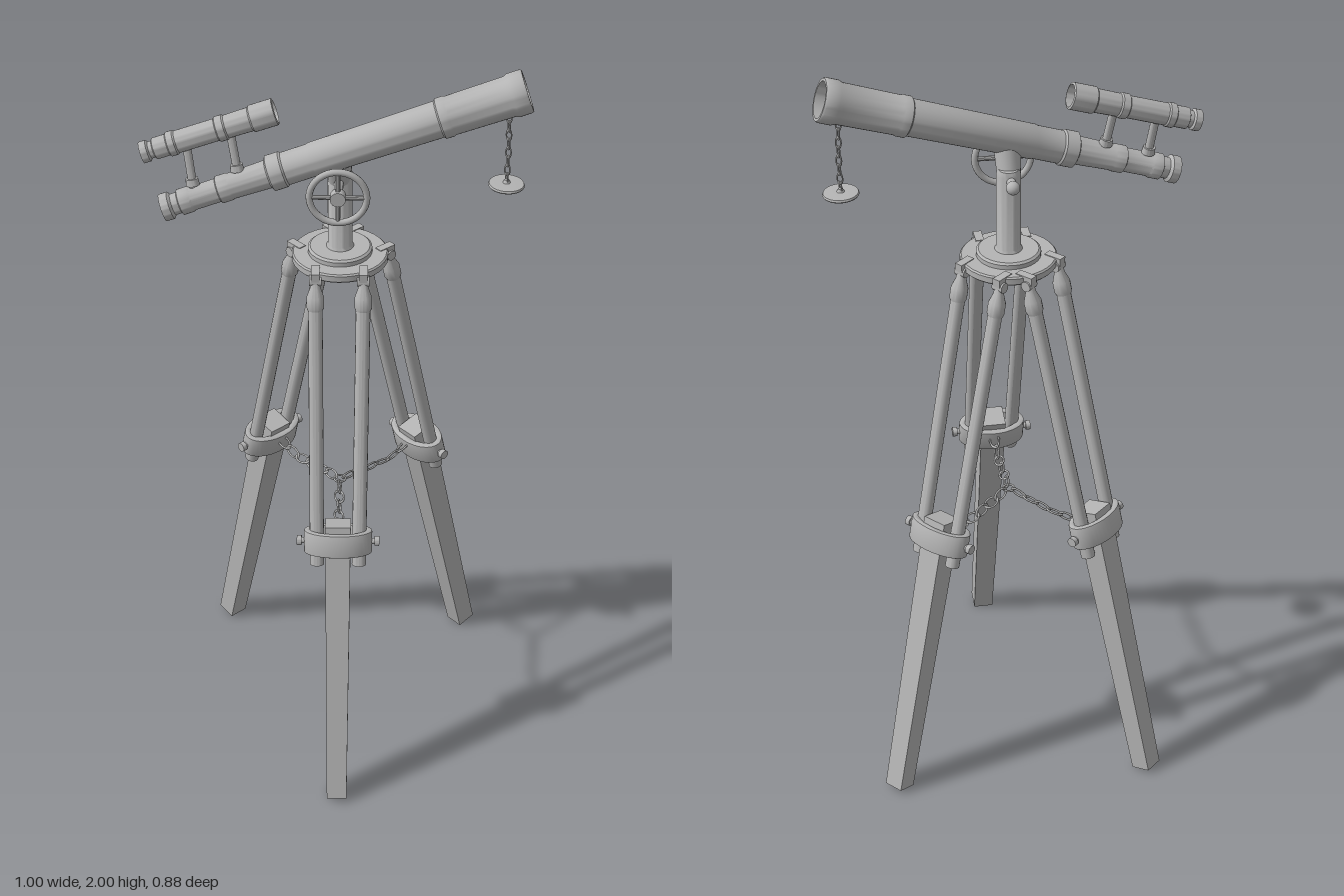
import * as THREE from 'three';
import { toCreasedNormals } from 'three/addons/utils/BufferGeometryUtils.js';

const metal = new THREE.MeshStandardMaterial({ color: 0xb4b4b4 });
const V = (x, y, z) => new THREE.Vector3(x, y, z);
const UP = V(0, 1, 0);

function add(parent, name, geometry, x = 0, y = 0, z = 0) {
  const mesh = new THREE.Mesh(geometry, metal);
  mesh.name = name;
  mesh.position.set(x, y, z);
  parent.add(mesh);
  return mesh;
}

// Turned part along the line from a to b; profile is [radius, distance from a]
function turned(parent, name, a, b, profile, sides = 32) {
  const points = profile.map(([r, t]) => new THREE.Vector2(r, t));
  const geometry = toCreasedNormals(new THREE.LatheGeometry(points, sides), 0.6);
  const mesh = add(parent, name, geometry, a.x, a.y, a.z);
  mesh.quaternion.setFromUnitVectors(UP, b.clone().sub(a).normalize());
  return mesh;
}

function rod(parent, name, a, b, r, r2 = r, sides = 16) {
  const l = a.distanceTo(b);
  return turned(parent, name, a, b, [[0, 0], [r, 0], [r2, l], [0, l]], sides);
}

// Chain of oval links following a list of points, every other link turned
function chain(parent, name, path, count, width, tube) {
  const curve = new THREE.CatmullRomCurve3(path);
  const length = curve.getLength() / count;
  for (let i = 0; i < count; i++) {
    const t = (i + 0.5) / count;
    const g = new THREE.TorusGeometry(width, tube, 6, 14);
    g.scale(1, (length * 0.5 + tube) / width, 1);
    g.rotateY(i % 2 ? 1.25 : 0.35);
    const link = add(parent, name, g);
    link.position.copy(curve.getPointAt(t));
    link.quaternion.setFromUnitVectors(UP, curve.getTangentAt(t));
  }
}

function collarGeometry() {
  const shape = new THREE.Shape().absellipse(0, 0, 0.088, 0.048, 0, Math.PI * 2);
  shape.holes.push(new THREE.Path().absellipse(0, 0, 0.074, 0.036, 0, Math.PI * 2));
  const g = new THREE.ExtrudeGeometry(shape, {
    depth: 0.056, bevelEnabled: true, bevelSize: 0.003, bevelThickness: 0.004, bevelSegments: 2, curveSegments: 20,
  });
  g.translate(0, 0, -0.028).rotateX(-Math.PI / 2);
  return toCreasedNormals(g, 0.6);
}

// One leg, pointing along its own +z; the tilted frame sits at the collar
function makeLeg(angle) {
  const leg = new THREE.Group();
  leg.name = 'leg';
  leg.rotation.y = angle;
  const frame = new THREE.Group();
  frame.name = 'legFrame';
  frame.position.set(0, 0.745, 0.29);
  frame.rotation.x = -0.248;
  leg.add(frame);

  // square tapering lower leg
  const square = new THREE.CylinderGeometry(0.034 * Math.SQRT2, 0.027 * Math.SQRT2, 0.81, 4);
  add(frame, 'lowerLeg', toCreasedNormals(square.rotateY(Math.PI / 4), 0.5), 0, -0.355, 0);
  add(frame, 'collar', collarGeometry());

  for (const s of [-1, 1]) {
    const x = s * 0.056, top = s * 0.062;
    rod(frame, 'upperRod', V(x, -0.068, 0), V(top, 0.68, 0), 0.019);
    turned(frame, 'rodKnuckle', V(top, 0.645, 0), V(top, 1, 0),
      [[0, 0], [0.02, 0], [0.023, 0.008], [0.023, 0.035], [0.014, 0.06], [0.012, 0.085], [0, 0.085]], 16);
    rod(frame, 'hingePin', V(top - 0.016, 0.725, 0), V(top + 0.016, 0.725, 0), 0.014);
    rod(frame, 'collarBolt', V(s * 0.08, 0, 0), V(s * 0.1, 0, 0), 0.008);
    rod(frame, 'boltHead', V(s * 0.097, 0, 0), V(s * 0.11, 0, 0), 0.013);
    // lug fixing the rod to the hub
    add(leg, 'hubLug', new THREE.BoxGeometry(0.022, 0.022, 0.05), top, 1.463, 0.102);
  }

  // chain from the leg to the middle
  chain(leg, 'braceChain', [V(0, 0.75, 0.25), V(0, 0.728, 0.19), V(0, 0.73, 0.1), V(0, 0.74, 0.015)], 6, 0.013, 0.0028);
  return leg;
}

function makeTripod() {
  const tripod = new THREE.Group();
  tripod.name = 'tripod';
  tripod.position.set(0.005, 0, -0.06);
  for (const degrees of [1, 132.4, -135.6]) tripod.add(makeLeg(THREE.MathUtils.degToRad(degrees)));
  add(tripod, 'chainRing', new THREE.TorusGeometry(0.016, 0.003, 6, 16).rotateX(Math.PI / 2), 0, 0.74, 0);

  // hub plate, step and column in one turning
  turned(tripod, 'hubAndColumn', V(0, 1.448, 0), V(0, 2, 0), [
    [0, 0], [0.122, 0], [0.126, 0.004], [0.126, 0.02], [0.122, 0.024], [0.084, 0.024], [0.084, 0.036],
    [0.078, 0.041], [0.036, 0.041], [0.032, 0.048], [0.032, 0.255], [0.026, 0.27], [0, 0.275],
  ]);
  return tripod;
}

function makeMount() {
  const mount = new THREE.Group();
  mount.name = 'mount';
  rod(mount, 'wheelShaft', V(0.003, 1.695, 0.062), V(0.003, 1.695, -0.12), 0.012);
  add(mount, 'shaftKnob', new THREE.SphereGeometry(0.018, 16, 12), 0.003, 1.695, -0.122);
  // cradle between column and tube
  rod(mount, 'cradlePost', V(0.003, 1.69, -0.055), V(0.003, 1.77, -0.025), 0.03, 0.036);
  // hand wheel
  const wheel = new THREE.Group();
  wheel.name = 'handWheel';
  wheel.position.set(0.003, 1.693, 0.05);
  add(wheel, 'wheelRim', new THREE.TorusGeometry(0.073, 0.009, 10, 36));
  rod(wheel, 'wheelHub', V(0, 0, -0.012), V(0, 0, 0.014), 0.02);
  for (let i = 0; i < 4; i++) {
    const a = i * Math.PI / 2;
    rod(wheel, 'wheelSpoke', V(0, 0, 0), V(Math.cos(a) * 0.073, Math.sin(a) * 0.073, 0), 0.007, 0.006, 10);
  }
  mount.add(wheel);
  return mount;
}

function makeTelescope() {
  const scope = new THREE.Group();
  scope.name = 'telescope';
  const rear = V(-0.445, 1.637, 0.02), front = V(0.472, 1.946, -0.06);
  const along = (a, b, t) => a.clone().lerp(b, t);

  // main tube: eyepiece, draw tubes, body, hood and recessed lens
  turned(scope, 'mainTube', rear, front, [
    [0, 0.008], [0.024, 0.008], [0.026, 0], [0.036, 0], [0.036, 0.022], [0.028, 0.028], [0.028, 0.045],
    [0.034, 0.048], [0.034, 0.075], [0.031, 0.08], [0.031, 0.15], [0.036, 0.153], [0.036, 0.18],
    [0.034, 0.185], [0.037, 0.285], [0.047, 0.29], [0.047, 0.325], [0.043, 0.33], [0.043, 0.4],
    [0.045, 0.405], [0.048, 0.74], [0.053, 0.744], [0.053, 0.765], [0.051, 0.77], [0.053, 0.925],
    [0.057, 0.935], [0.057, 0.968], [0.054, 0.973], [0.047, 0.973], [0.044, 0.92], [0, 0.92],
  ], 40);

  // finder tube above
  const fRear = V(-0.495, 1.785, 0), fFront = V(-0.157, 1.894, -0.027);
  turned(scope, 'finderTube', fRear, fFront, [
    [0, 0.006], [0.019, 0.006], [0.02, 0], [0.028, 0], [0.028, 0.018], [0.022, 0.022], [0.022, 0.032],
    [0.028, 0.035], [0.028, 0.07], [0.032, 0.073], [0.032, 0.09], [0.029, 0.094], [0.029, 0.2],
    [0.033, 0.203], [0.033, 0.222], [0.03, 0.226], [0.031, 0.29], [0.035, 0.294], [0.035, 0.355],
    [0.029, 0.357], [0.027, 0.325], [0, 0.325],
  ], 28);

  // posts holding the finder
  for (const [m, f] of [[0.09, 0.33], [0.215, 0.655]]) {
    const a = along(rear, front, m), b = along(fRear, fFront, f);
    rod(scope, 'finderPost', a, b, 0.011);
    turned(scope, 'postFoot', along(a, b, 0.22), b, [[0, 0], [0.018, 0], [0.016, 0.018], [0, 0.018]], 16);
  }

  // lens cap hanging on its chain
  chain(scope, 'capChain', [V(0.43, 1.885, -0.056), V(0.432, 1.78, -0.056), V(0.43, 1.685, -0.056)], 8, 0.007, 0.002);
  turned(scope, 'lensCap', V(0.43, 1.676, -0.056), V(0.434, 1.776, -0.056),
    [[0, 0], [0.045, 0], [0.047, 0.003], [0.045, 0.008], [0.01, 0.01], [0.006, 0.018], [0, 0.018]]);
  return scope;
}

export function createModel() {
  const model = new THREE.Group();
  model.name = 'telescopeOnTripod';
  model.add(makeTripod(), makeMount(), makeTelescope());
  return model;
}
